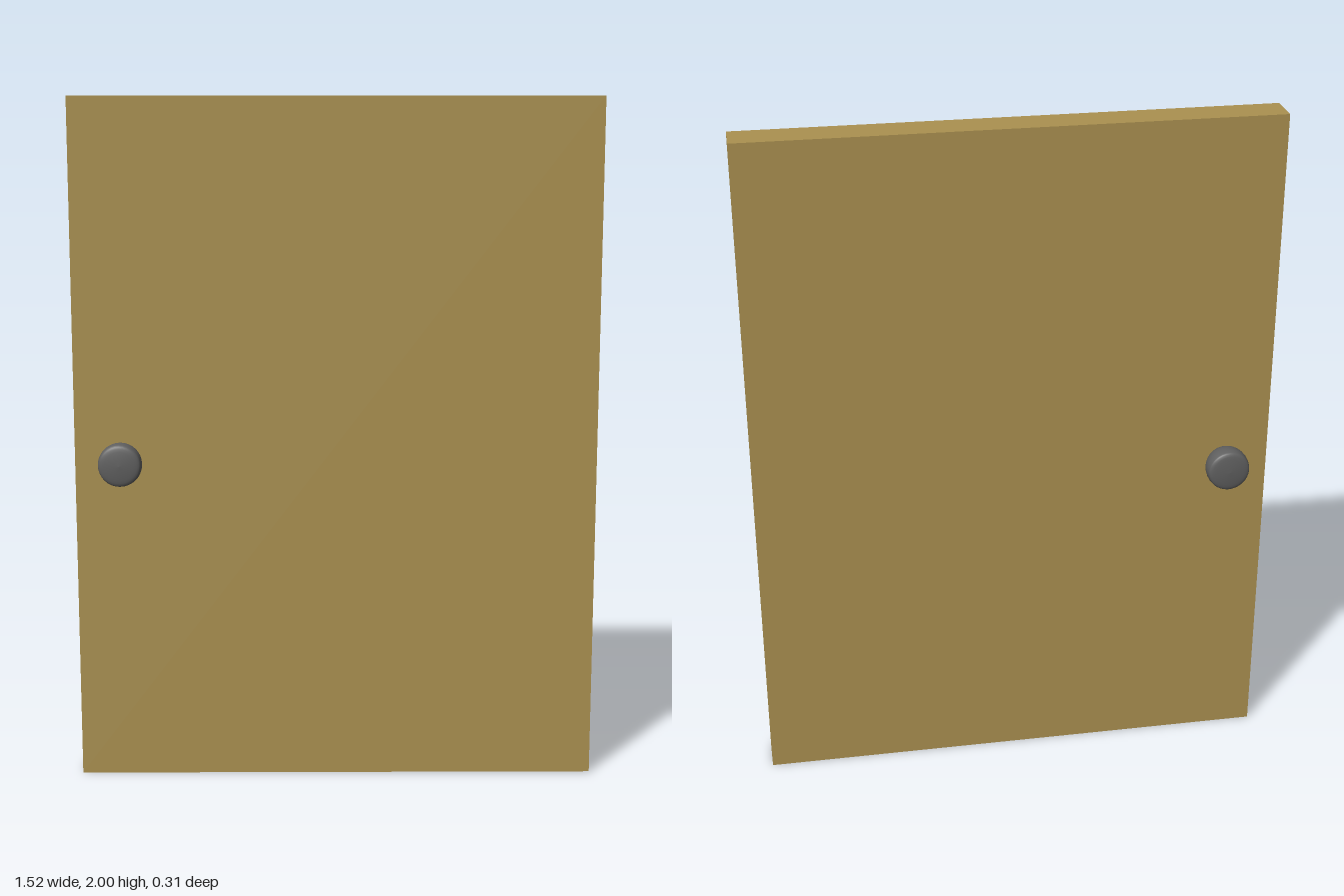
import * as THREE from 'three';

export function createModel() {
  const group = new THREE.Group();
  group.name = 'door';
  const wood = new THREE.MeshStandardMaterial({ color: 0xab9150 });
  const metal = new THREE.MeshStandardMaterial({ color: 0x606060 });

  // Plain door slab
  const panel = new THREE.Mesh(new THREE.BoxGeometry(1.52, 2, 0.104), wood);
  panel.name = 'doorPanel';
  panel.position.y = 1;
  group.add(panel);

  // Knob: domed toward the door, rounded rim, slightly domed outer face
  const profile = new THREE.SplineCurve([
    [0, 0.05], [0.022, 0.054], [0.044, 0.07], [0.058, 0.092],
    [0.063, 0.115], [0.062, 0.135], [0.056, 0.147], [0.03, 0.152], [0, 0.154],
  ].map(([r, z]) => new THREE.Vector2(r, z)));
  const points = profile.getPoints(28);
  points.forEach((p) => { p.x = Math.max(0, p.x); });
  const knobGeometry = new THREE.LatheGeometry(points, 32);
  knobGeometry.rotateX(Math.PI / 2);

  // One knob on each face
  for (const [name, turn] of [['frontKnob', 0], ['backKnob', Math.PI]]) {
    const knob = new THREE.Mesh(knobGeometry, metal);
    knob.name = name;
    knob.position.set(-0.622, 0.957, 0);
    knob.rotation.y = turn;
    group.add(knob);
  }
  return group;
}
